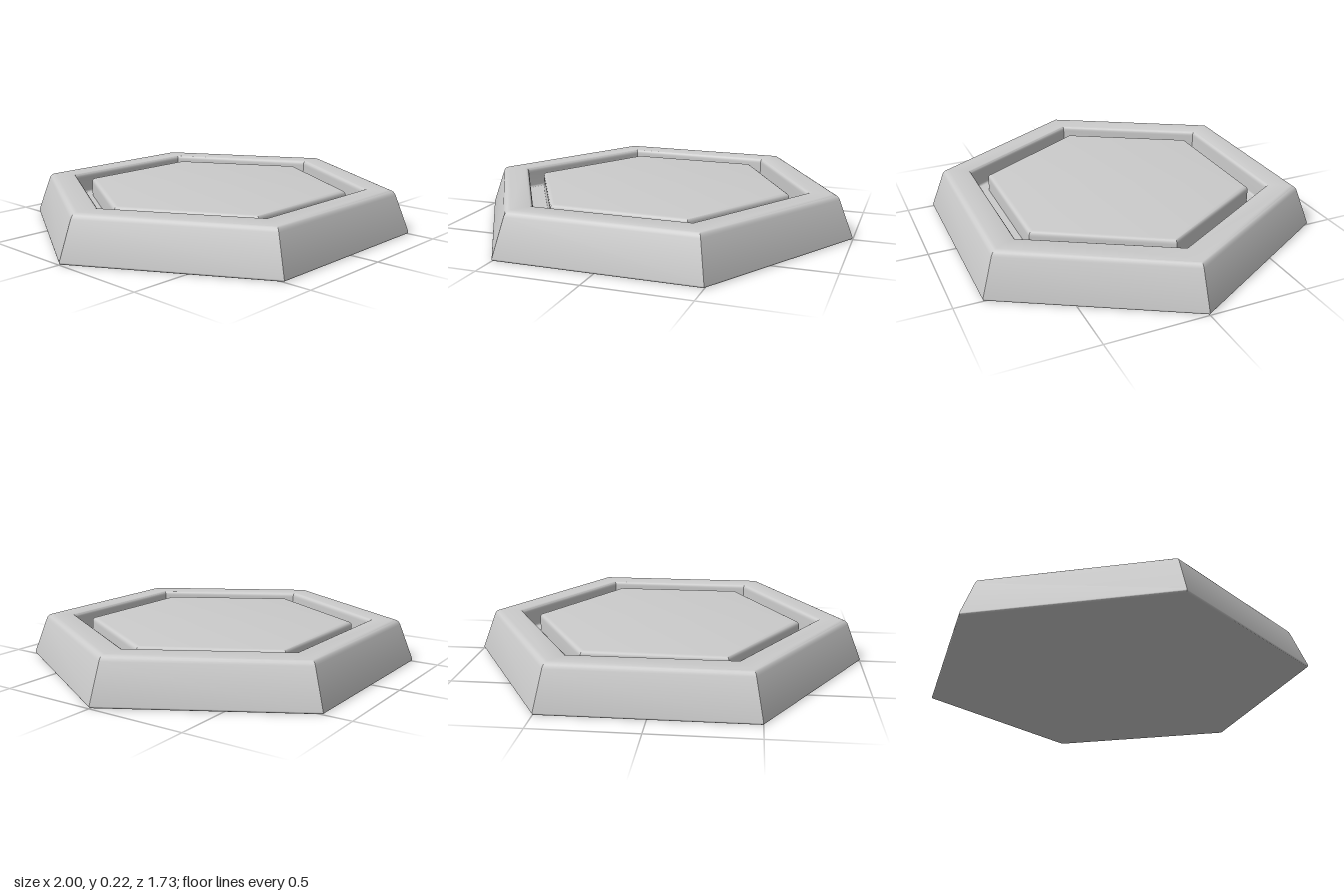
import * as THREE from 'three';
import { toCreasedNormals } from 'three/addons/utils/BufferGeometryUtils.js';

const material = new THREE.MeshStandardMaterial({ color: 0xcccccc });

// Profile of [radius, height, rounding] corners; rounded corners become short curves.
function roundedProfile(corners) {
  const pts = corners.map(([r, y]) => new THREE.Vector2(r, y));
  const out = [];
  corners.forEach(([, , round], i) => {
    const p = pts[i];
    if (!round) return out.push(p);
    const toward = (q) => p.clone().add(q.clone().sub(p).setLength(round));
    const curve = new THREE.QuadraticBezierCurve(toward(pts[i - 1]), p, toward(pts[i + 1]));
    out.push(...curve.getPoints(5));
  });
  return out;
}

// Six-sided solid with a corner on +x, soft along the profile and sharp at the corners.
function hexMesh(name, corners) {
  const lathe = new THREE.LatheGeometry(roundedProfile(corners), 6, Math.PI / 2);
  const mesh = new THREE.Mesh(toCreasedNormals(lathe, 0.6), material);
  mesh.name = name;
  return mesh;
}

export function createModel() {
  const group = new THREE.Group();
  group.name = 'hexagonalTile';
  const floorY = 0.11;

  // Sloping body with raised rim, inner wall and groove floor
  group.add(hexMesh('baseAndRim', [
    [0, 0],
    [1.003, 0, 0.018],
    [0.917, 0.22, 0.028],
    [0.77, 0.22, 0.025],
    [0.77, floorY, 0.012],
    [0.68, floorY],
  ]));

  // Raised centre panel inside the groove
  group.add(hexMesh('centrePanel', [
    [0.68, floorY],
    [0.68, 0.205, 0.025],
    [0, 0.205],
  ]));
  return group;
}
